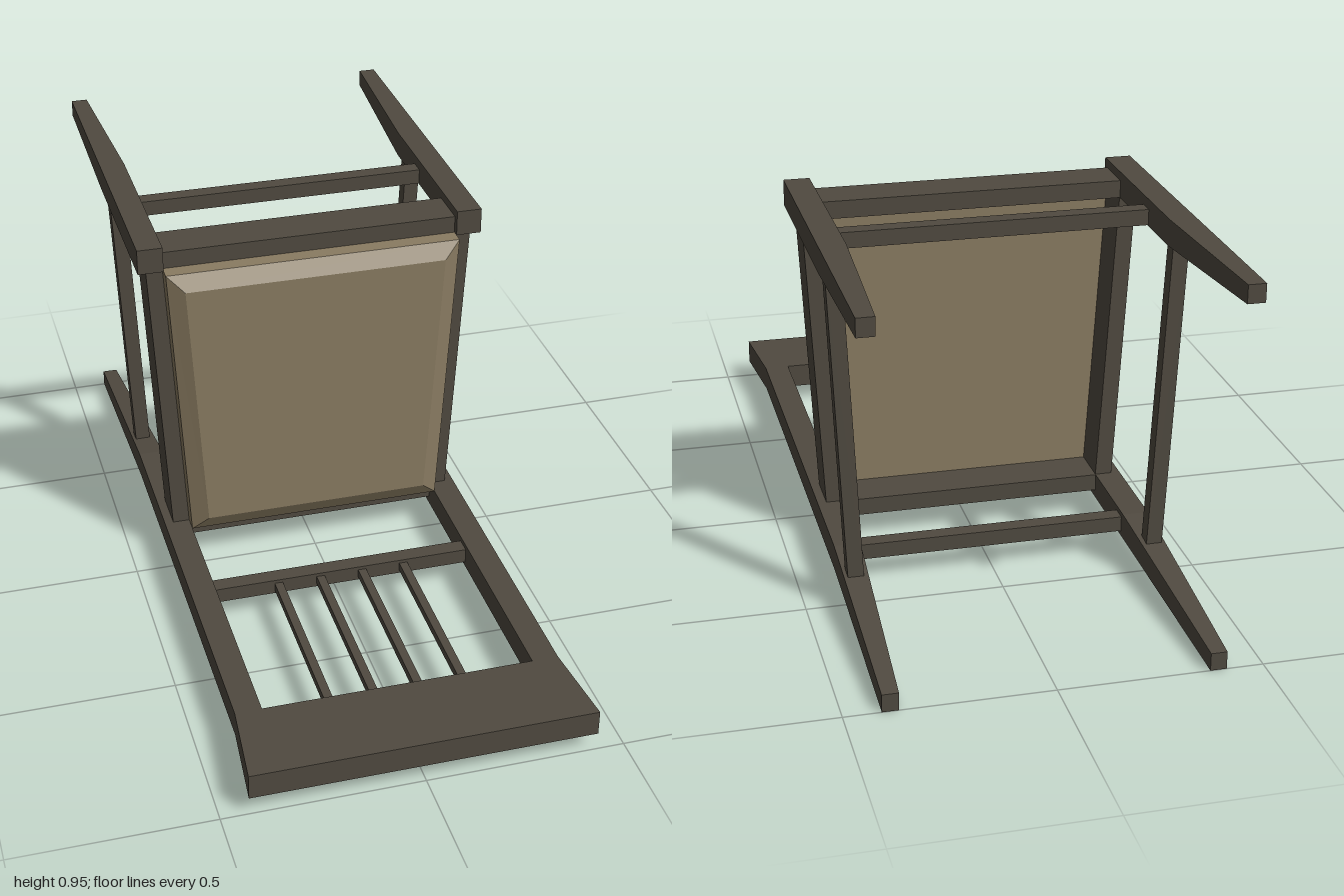
import * as THREE from 'three';

const wood = new THREE.MeshStandardMaterial({ color: 0x504a40 });
wood.name = 'darkWood';
const fabric = new THREE.MeshStandardMaterial({ color: 0x8a7c62 });
fabric.name = 'tanUpholstery';

// Skin a run of four-cornered cross-sections with flat faces and closed ends.
function loft(sections) {
  const pos = [];
  const quad = (a, b, c, d) => pos.push(...a, ...b, ...c, ...a, ...c, ...d);
  for (let s = 0; s < sections.length - 1; s++) {
    const p = sections[s], q = sections[s + 1];
    for (let i = 0; i < 4; i++) {
      const j = (i + 1) % 4;
      quad(p[i], p[j], q[j], q[i]);
    }
  }
  const first = sections[0], last = sections[sections.length - 1];
  quad(first[3], first[2], first[1], first[0]);
  quad(last[0], last[1], last[2], last[3]);

  // Turn all faces outward if the enclosed volume comes out negative.
  let volume = 0;
  const v = (i) => new THREE.Vector3().fromArray(pos, i);
  for (let i = 0; i < pos.length; i += 9) volume += v(i).dot(v(i + 3).cross(v(i + 6)));
  if (volume < 0) {
    for (let i = 0; i < pos.length; i += 9) {
      for (let k = 0; k < 3; k++) {
        [pos[i + 3 + k], pos[i + 6 + k]] = [pos[i + 6 + k], pos[i + 3 + k]];
      }
    }
  }
  const geometry = new THREE.BufferGeometry();
  geometry.setAttribute('position', new THREE.Float32BufferAttribute(pos, 3));
  geometry.computeVertexNormals();
  return geometry;
}

// Rectangular sections facing along z and along y.
const sectionZ = (z, x0, x1, y0, y1) => [[x0, y0, z], [x1, y0, z], [x1, y1, z], [x0, y1, z]];
const sectionY = (y, x0, x1, z0, z1) => [[x0, y, z0], [x1, y, z0], [x1, y, z1], [x0, y, z1]];

export function createModel() {
  const chair = new THREE.Group();
  chair.name = 'tippedChair';

  const add = (name, geometry, material = wood) => {
    const mesh = new THREE.Mesh(geometry, material);
    mesh.name = name;
    chair.add(mesh);
  };
  const bar = (name, x0, x1, y0, y1, z0, z1) => {
    const box = new THREE.BoxGeometry(x1 - x0, y1 - y0, z1 - z0);
    add(name, box.translate((x0 + x1) / 2, (y0 + y1) / 2, (z0 + z1) / 2));
  };

  for (const [side, s] of [['left', 1], ['right', -1]]) {
    // Back post, running into a bent and tapered rear leg
    add(side + 'BackPost', loft([
      sectionZ(0.775, s * 0.343, s * 0.41, 0.047, 0.113),
      sectionZ(-0.4, s * 0.343, s * 0.41, 0.047, 0.113),
      sectionZ(-1, s * 0.37, s * 0.41, 0, 0.045),
    ]));
    // Front leg, tapered on its two inner faces
    add(side + 'FrontLeg', loft([
      sectionZ(-0.025, s * 0.387, s * 0.453, 0.888, 0.955),
      sectionZ(-0.54, s * 0.387, s * 0.453, 0.888, 0.955),
      sectionZ(-1, s * 0.41, s * 0.453, 0.91, 0.955),
    ]));
    // Splayed seat rail and side stretcher
    add(side + 'SeatRail', loft([
      sectionY(0.113, s * 0.343, s * 0.387, -0.155, -0.043),
      sectionY(0.888, s * 0.387, s * 0.43, -0.155, -0.043),
    ]));
    add(side + 'Stretcher', loft([
      sectionY(0.08, s * 0.36, s * 0.4, -0.54, -0.5),
      sectionY(0.9, s * 0.4, s * 0.44, -0.54, -0.5),
    ]));
  }

  // Crest rail, flared toward its free edge
  add('crestRail', loft([
    sectionZ(0.775, -0.41, 0.41, 0.047, 0.113),
    sectionZ(1, -0.431, 0.431, 0.047, 0.113),
  ]));

  // Cross rails between the legs and posts
  bar('frontSeatRail', -0.387, 0.387, 0.888, 0.933, -0.158, -0.043);
  bar('rearSeatRail', -0.343, 0.343, 0.068, 0.113, -0.158, -0.043);
  bar('frontStretcher', -0.39, 0.39, 0.89, 0.93, -0.387, -0.345);
  bar('rearStretcher', -0.345, 0.345, 0.06, 0.1, -0.387, -0.345);
  bar('lowerBackRail', -0.343, 0.343, 0.06, 0.1, 0.227, 0.27);

  // Thin slats in the backrest
  for (let i = 0; i < 4; i++) {
    const x = -0.172 + i * 0.1135;
    bar('backSlat' + (i + 1), x - 0.011, x + 0.011, 0.069, 0.091, 0.27, 0.775);
  }

  // Bevelled seat pad, wider at the front legs
  const pad = (z, yLow, yHigh, xLow, xHigh) =>
    [[-xLow, yLow, z], [xLow, yLow, z], [xHigh, yHigh, z], [-xHigh, yHigh, z]];
  add('seatPad', loft([
    pad(-0.043, 0.113, 0.888, 0.343, 0.387),
    pad(0, 0.113, 0.888, 0.343, 0.387),
    pad(0.024, 0.155, 0.846, 0.301, 0.343),
  ]), fabric);

  return chair;
}
